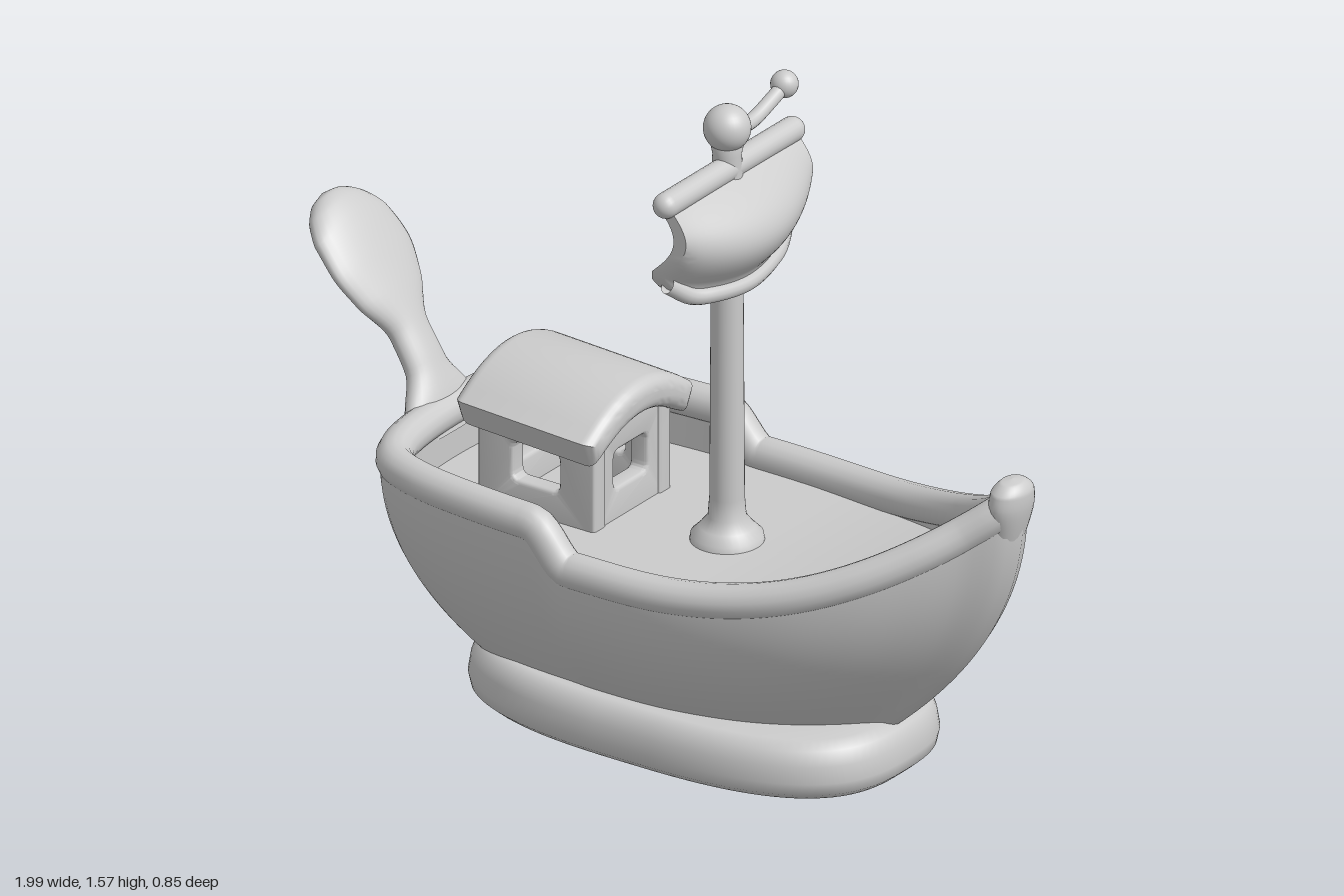
import * as THREE from 'three';
import { toCreasedNormals } from 'three/addons/utils/BufferGeometryUtils.js';

const mat = new THREE.MeshStandardMaterial({ color: 0xcccccc, side: THREE.DoubleSide });
const V = (x, y, z) => new THREE.Vector3(x, y, z);

function add(parent, name, geo, x = 0, y = 0, z = 0) {
  const m = new THREE.Mesh(geo, mat);
  m.name = name;
  m.position.set(x, y, z);
  parent.add(m);
  return m;
}

// Skin a list of closed loops (arrays of Vector3 of equal length)
function loft(loops) {
  const n = loops[0].length, pos = [], idx = [];
  loops.forEach(l => l.forEach(p => pos.push(p.x, p.y, p.z)));
  for (let i = 0; i < loops.length - 1; i++)
    for (let j = 0; j < n; j++) {
      const k = (j + 1) % n, a = i * n + j, b = i * n + k;
      idx.push(a, a + n, b, b, a + n, b + n);
    }
  const g = new THREE.BufferGeometry();
  g.setAttribute('position', new THREE.Float32BufferAttribute(pos, 3));
  g.setIndex(idx);
  g.computeVertexNormals();
  return g;
}

// Elliptical sections swept through rows of [x, y, half width in z, half thickness]
function sweep(rows, steps = 48, sides = 28) {
  const path = new THREE.CatmullRomCurve3(rows.map(r => V(r[0], r[1], 0)));
  const size = new THREE.CatmullRomCurve3(rows.map(r => V(r[2], r[3], 0)));
  const loops = [];
  for (let i = 0; i <= steps; i++) {
    const c = path.getPoint(i / steps), s = size.getPoint(i / steps), t = path.getTangent(i / steps);
    loops.push(Array.from({ length: sides }, (_, j) => {
      const a = j / sides * Math.PI * 2, d = s.y * Math.cos(a);
      return V(c.x + t.y * d, c.y - t.x * d, s.x * Math.sin(a));
    }));
  }
  return loft(loops);
}

// Height of the rim's centre line: raised aft deck, sweep up to the bow
function sheer(x) {
  const aft = 1 - THREE.MathUtils.smoothstep(x, -0.13, -0.02);
  return 0.49 + 0.09 * aft + 0.29 * Math.pow(Math.max(0, (x - 0.1) / 0.86), 2.6);
}
const deckY = x => 0.47 + 0.11 * Math.pow(Math.max(0, (x - 0.2) / 0.68), 2);

// Plan outline of the rim's centre line, running from bow towards +z
function rimOutline(count) {
  const half = [[0.86, 0.08], [0.78, 0.15], [0.66, 0.235], [0.5, 0.31], [0.25, 0.37], [0, 0.382],
    [-0.3, 0.368], [-0.48, 0.34], [-0.57, 0.3], [-0.615, 0.23], [-0.64, 0.1]];
  const pts = [[0.95, 0], ...half, ...half.slice().reverse().map(([x, z]) => [x, -z])];
  return new THREE.CatmullRomCurve3(pts.map(([x, z]) => V(x, 0, z)), true).getSpacedPoints(count).slice(0, count);
}

function buildHull(parent) {
  const rim = rimOutline(180), n = rim.length;
  const normals = rim.map((p, i) => {
    const t = rim[(i + 1) % n].clone().sub(rim[(i + n - 1) % n]).normalize();
    return V(t.z, 0, -t.x);
  });

  // Outer skin, rounding out from the narrow foot to the rim
  const skin = [];
  for (let i = 0; i <= 24; i++) {
    const v = i / 24, f = 1 - Math.pow(1 - v, 2.1);
    skin.push(rim.map((p, j) => {
      const bx = -0.45 + (p.x + 0.64) / 1.59 * 1.07, bz = p.z * 0.66;
      const tx = p.x + normals[j].x * 0.034, tz = p.z + normals[j].z * 0.034;
      return V(bx + (tx - bx) * f, 0.12 + (sheer(p.x) - 0.12) * v, bz + (tz - bz) * f);
    }));
  }
  add(parent, 'hull', loft(skin));

  // Bulwark inside and deck
  const inner = rim.map((p, j) => {
    const x = Math.min(p.x - normals[j].x * 0.03, 0.89);
    const z = p.z - normals[j].z * 0.03;
    return V(x, 0, z * p.z < 0 ? 0 : z);
  });
  const top = inner.map((p, j) => V(p.x, sheer(rim[j].x), p.z));
  const edge = inner.map(p => V(p.x, deckY(p.x), p.z));
  add(parent, 'bulwarkLining', loft([top, edge]));
  add(parent, 'deck', loft([edge, edge.map(p => V(p.x, p.y, 0))]));

  // Rounded rail
  const rail = new THREE.CatmullRomCurve3(rim.map(p => V(p.x, sheer(p.x), p.z)), true);
  add(parent, 'rail', new THREE.TubeGeometry(rail, 240, 0.044, 14, true));

  // Bow post
  add(parent, 'bowPost', sweep([[0.953, 0.843, 0, 0], [0.953, 0.838, 0.035, 0.025], [0.953, 0.815, 0.062, 0.043],
    [0.95, 0.78, 0.068, 0.045], [0.94, 0.7, 0.05, 0.035], [0.905, 0.58, 0.03, 0.025], [0.86, 0.46, 0, 0]]));
}

// Soft ring foot, hollow underneath
function buildFoot(parent) {
  const profile = [[-0.12, 0.142], [-0.045, 0.142], [-0.018, 0.125], [-0.006, 0.09], [0, 0.05], [-0.006, 0.02],
    [-0.025, 0.003], [-0.05, 0.002], [-0.07, 0.015], [-0.1, 0.05], [-0.17, 0.08], [-0.33, 0.09]].reverse();
  const pw = v => Math.sign(v) * Math.pow(Math.abs(v), 0.72);
  const loops = profile.map(([d, y]) => Array.from({ length: 96 }, (_, j) => {
    const a = j / 96 * Math.PI * 2;
    return V(0.085 + (0.575 + d) * pw(Math.cos(a)), y, (0.338 + d) * pw(Math.sin(a)));
  }));
  loops.unshift(loops[0].map(() => V(0.085, 0.095, 0)));
  add(parent, 'foot', loft(loops));
}

// Wall panel with a rounded window, centred in x and z
function wallPanel(w) {
  const s = new THREE.Shape();
  s.moveTo(-w / 2, 0).lineTo(w / 2, 0).lineTo(w / 2, 0.25).lineTo(-w / 2, 0.25).closePath();
  const h = new THREE.Path(), a = 0.075, b = 0.08, t = 0.195, r = 0.03;
  h.moveTo(-a, b + r).lineTo(-a, t - r).quadraticCurveTo(-a, t, -a + r, t).lineTo(a - r, t)
    .quadraticCurveTo(a, t, a, t - r).lineTo(a, b + r).quadraticCurveTo(a, b, a - r, b)
    .lineTo(-a + r, b).quadraticCurveTo(-a, b, -a, b + r);
  s.holes.push(h);
  const g = new THREE.ExtrudeGeometry(s, { depth: 0.03, bevelThickness: 0.01, bevelSize: 0.01, bevelSegments: 3 });
  return toCreasedNormals(g.translate(0, 0, -0.015), 0.7);
}

function buildCabin(parent) {
  const cabin = new THREE.Group();
  cabin.name = 'cabin';
  cabin.position.set(-0.28, 0.455, 0);
  parent.add(cabin);
  for (const s of [-1, 1]) {
    add(cabin, 'sideWall', wallPanel(0.31), 0, 0, s * 0.13);
    add(cabin, 'endWall', wallPanel(0.26), s * 0.135, 0, 0).rotation.y = Math.PI / 2;
  }
  // Arched roof with rounded edges
  const r = new THREE.Shape();
  r.moveTo(-0.172, 0.012).quadraticCurveTo(0, -0.012 + 0.15, 0.172, 0.012)
    .lineTo(0.168, 0.002).quadraticCurveTo(0, 0.11, -0.168, 0.002).closePath();
  const g = new THREE.ExtrudeGeometry(r, { depth: 0.33, curveSegments: 24, bevelThickness: 0.034, bevelSize: 0.034, bevelSegments: 6 });
  g.translate(0, 0, -0.165).rotateY(Math.PI / 2);
  add(cabin, 'roof', toCreasedNormals(g, 0.8), 0, 0.248, 0).rotation.z = -0.045;
}

function buildRig(parent) {
  const rig = new THREE.Group();
  rig.name = 'rig';
  rig.position.x = 0.15;
  parent.add(rig);

  // Mast with flared foot and a ball on top
  const prof = [[0.088, 0.46], [0.085, 0.485], [0.065, 0.505], [0.045, 0.53], [0.041, 0.58], [0.038, 1.1],
    [0.037, 1.4], [0.034, 1.45], [0.038, 1.47], [0.03, 1.49]];
  add(rig, 'mast', new THREE.LatheGeometry(prof.map(([r, y]) => new THREE.Vector2(r, y)), 32));
  add(rig, 'mastBall', new THREE.SphereGeometry(0.056, 32, 20), 0, 1.515, 0);

  // Yard
  const yard = new THREE.CapsuleGeometry(0.031, 0.5, 8, 20).rotateX(Math.PI / 2);
  add(rig, 'yard', yard, 0.005, 1.415, 0);

  // Billowing sail: a slab bent forward, with rounded lower corners
  const sail = new THREE.BoxGeometry(0.035, 1, 1, 1, 24, 32), p = sail.attributes.position;
  for (let i = 0; i < p.count; i++) {
    const v = 0.5 - p.getY(i), u = p.getZ(i) * 2, belly = 1 - u * u;
    const edge = 0.05 * Math.sin(Math.PI * Math.min(1, v * 1.15)) - 0.025 * v * v;
    const x = edge + belly * (0.06 * Math.sin(Math.PI * v * 0.8) + 0.025 * v);
    const drop = 0.23 + 0.045 * (1 - u * u) - 0.03 * Math.pow(Math.abs(u), 12);
    p.setXYZ(i, p.getX(i) + x, 1.41 - v * drop, u * (0.253 - 0.015 * Math.pow(v, 8)));
  }
  add(rig, 'sail', toCreasedNormals(sail, 0.9));

  // Rolled hem along the sail's lower edge
  const hem = new THREE.CatmullRomCurve3([-1, -0.75, -0.5, 0, 0.5, 0.75, 1].map(u => {
    const b = 1 - u * u;
    return V(-0.001 + b * 0.06, 1.18 - 0.04 * b + (Math.abs(u) === 1 ? 0.025 : 0), u * 0.236);
  }));
  add(rig, 'sailHem', new THREE.TubeGeometry(hem, 40, 0.021, 12));

  // Side peg with a small knob
  const peg = new THREE.CatmullRomCurve3([V(0, 1.495, -0.03), V(0, 1.495, -0.1), V(0, 1.515, -0.17), V(0, 1.535, -0.225)]);
  add(rig, 'peg', new THREE.TubeGeometry(peg, 24, 0.018, 14));
  add(rig, 'pegKnob', new THREE.SphereGeometry(0.033, 24, 16), 0, 1.538, -0.228);
}

export function createModel() {
  const ship = new THREE.Group();
  ship.name = 'toyShip';
  buildFoot(ship);
  buildHull(ship);
  buildCabin(ship);
  buildRig(ship);

  // Paddle-shaped stern tail
  add(ship, 'sternPaddle', sweep([[-0.635, 0.53, 0.15, 0.03], [-0.665, 0.6, 0.12, 0.04], [-0.7, 0.68, 0.065, 0.036],
    [-0.745, 0.755, 0.062, 0.036], [-0.8, 0.84, 0.118, 0.037], [-0.855, 0.915, 0.145, 0.038], [-0.91, 0.975, 0.136, 0.042],
    [-0.952, 1.01, 0.1, 0.042], [-0.978, 1.028, 0.055, 0.03], [-0.99, 1.036, 0, 0]], 60));
  return ship;
}
